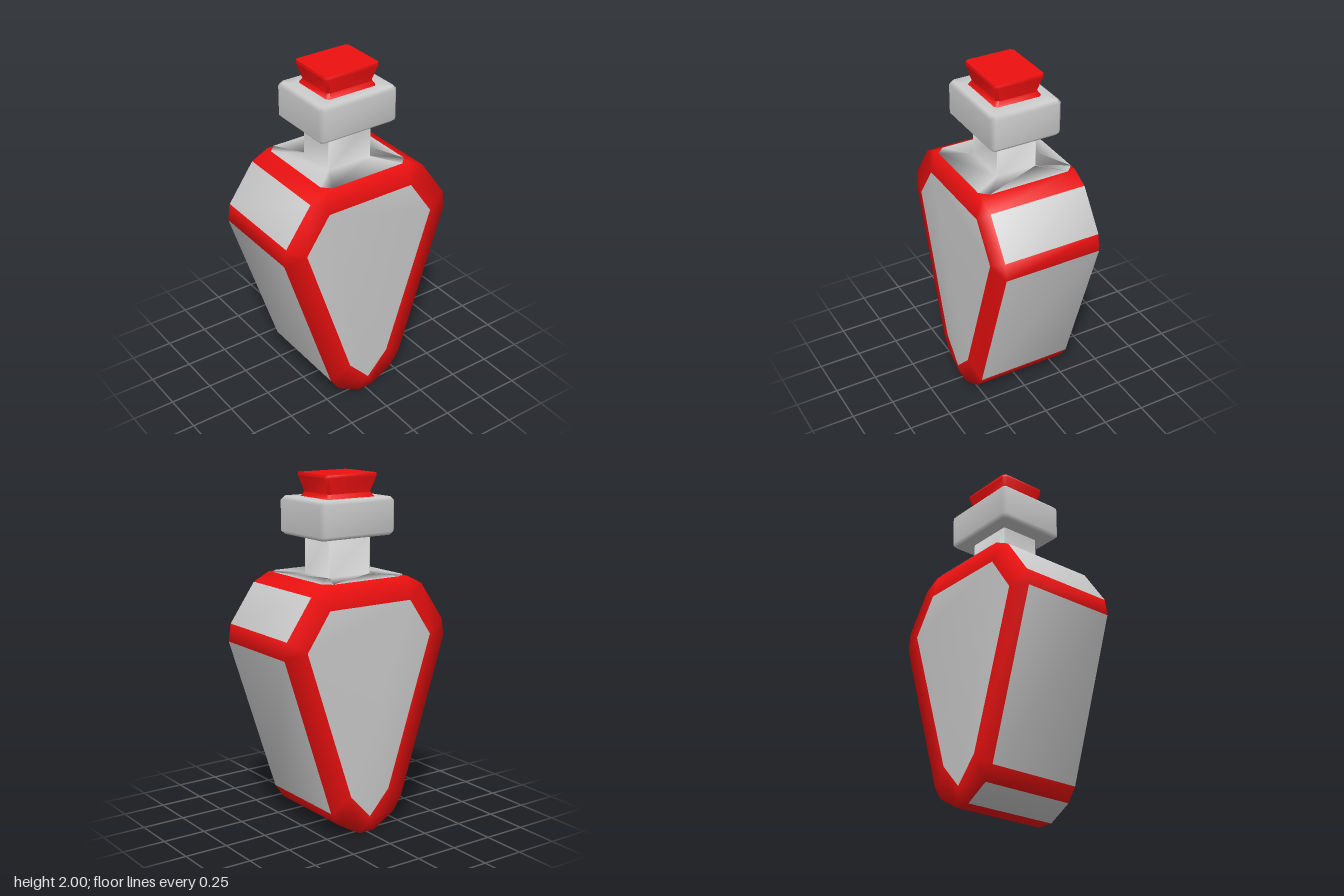
import * as THREE from 'three';
import { toCreasedNormals } from 'three/addons/utils/BufferGeometryUtils.js';

const grey = new THREE.MeshStandardMaterial({ color: 0xcccccc });
const red = new THREE.MeshStandardMaterial({ color: 0xee1010 });

function makeGeometry(positions, index) {
  const g = new THREE.BufferGeometry();
  g.setAttribute('position', new THREE.Float32BufferAttribute(positions, 3));
  g.setIndex(index);
  g.computeVertexNormals();
  return g;
}

// Skin through rectangular sections with cut corners: [halfX, halfZ, cornerCut, y], bottom to top
function loft(sections) {
  const pos = [], idx = [], n = 8;
  for (const [x, z, c, y] of sections) {
    const ring = [[x, z - c], [x, c - z], [x - c, -z], [c - x, -z], [-x, c - z], [-x, z - c], [c - x, z], [x - c, z]];
    for (const [px, pz] of ring) pos.push(px, y, pz);
  }
  const last = (sections.length - 1) * n;
  for (let s = 0; s < last; s += n) {
    for (let i = 0; i < n; i++) {
      const j = (i + 1) % n;
      idx.push(s + i, s + j, s + n + j, s + i, s + n + j, s + n + i);
    }
  }
  for (let i = 1; i < n - 1; i++) {
    idx.push(0, i + 1, i, last, last + i, last + i + 1);
  }
  return makeGeometry(pos, idx);
}

// Faceted body: every side-panel corner matches a pair of points on the outer outline
function addBody(add) {
  const half = [[0.27, 1.44], [0.37, 1.39], [0.525, 1.17], [0.54, 1.07], [0.245, 0.16], [0.19, 0.08], [0.05, 0]];
  const mirror = (pts) => pts.map(([z, y]) => [-z, y]).reverse();
  const outer = [...half, ...mirror(half)];
  const halfPanel = [[0.27, 1.31], [0.415, 1.1], [0.13, 0.24]];
  const panel = [...halfPanel, [0, 0.1], ...mirror(halfPanel)];
  const N = outer.length, M = panel.length;
  const pos = [];
  for (const s of [1, -1]) {
    for (const [z, y] of outer) pos.push(s * 0.285, y, z);
    for (const [z, y] of panel) pos.push(s * 0.315, y, z);
  }
  const S = N + M;
  const trim = [], panels = [];

  for (let i = 0; i < N; i++) {
    const j = (i + 1) % N;
    // corner bands are red, the facets between them grey
    const band = i % 2 === 0 || i === N - 1;
    (band ? trim : panels).push(i, S + i, S + j, i, S + j, j);
    // red bevel framing each side panel
    const a = N + Math.floor(i / 2), b = N + Math.floor(j / 2);
    const tris = [[i, j, b]];
    if (a !== b) tris.push([i, b, a]);
    for (const [p, q, r] of tris) trim.push(p, q, r, S + p, S + r, S + q);
  }
  // large side panels
  for (let k = 1; k < M - 1; k++) {
    panels.push(N, N + k, N + k + 1, S + N, S + N + k + 1, S + N + k);
  }

  // normals come from the whole body, then the faces are split by colour
  const whole = makeGeometry(pos, [...trim, ...panels]);
  const part = (index) => {
    const g = whole.clone();
    g.setIndex(index);
    return g;
  };
  add('bodyTrim', part(trim), red);
  add('bodyPanels', part(panels), grey);
}

export function createModel() {
  const group = new THREE.Group();
  group.name = 'bottle';
  const add = (name, geometry, material) => {
    const mesh = new THREE.Mesh(geometry, material);
    mesh.name = name;
    group.add(mesh);
  };

  addBody(add);

  // shoulder plate running up into the neck
  add('shoulderAndNeck', loft([
    [0.284, 0.275, 0.045, 1.443],
    [0.12, 0.14, 0.006, 1.444],
    [0.12, 0.14, 0.006, 1.67],
  ]), grey);

  // bevelled collar
  add('collar', loft([
    [0.19, 0.23, 0.015, 1.66],
    [0.21, 0.248, 0.022, 1.68],
    [0.21, 0.248, 0.022, 1.85],
    [0.193, 0.23, 0.015, 1.87],
    [0.14, 0.165, 0.01, 1.87],
  ]), grey);

  // flared stopper
  add('stopper', toCreasedNormals(loft([
    [0.14, 0.16, 0.015, 1.868],
    [0.123, 0.145, 0.015, 1.895],
    [0.148, 0.173, 0.018, 1.985],
    [0.145, 0.17, 0.016, 2],
  ]), 0.9), red);

  return group;
}
